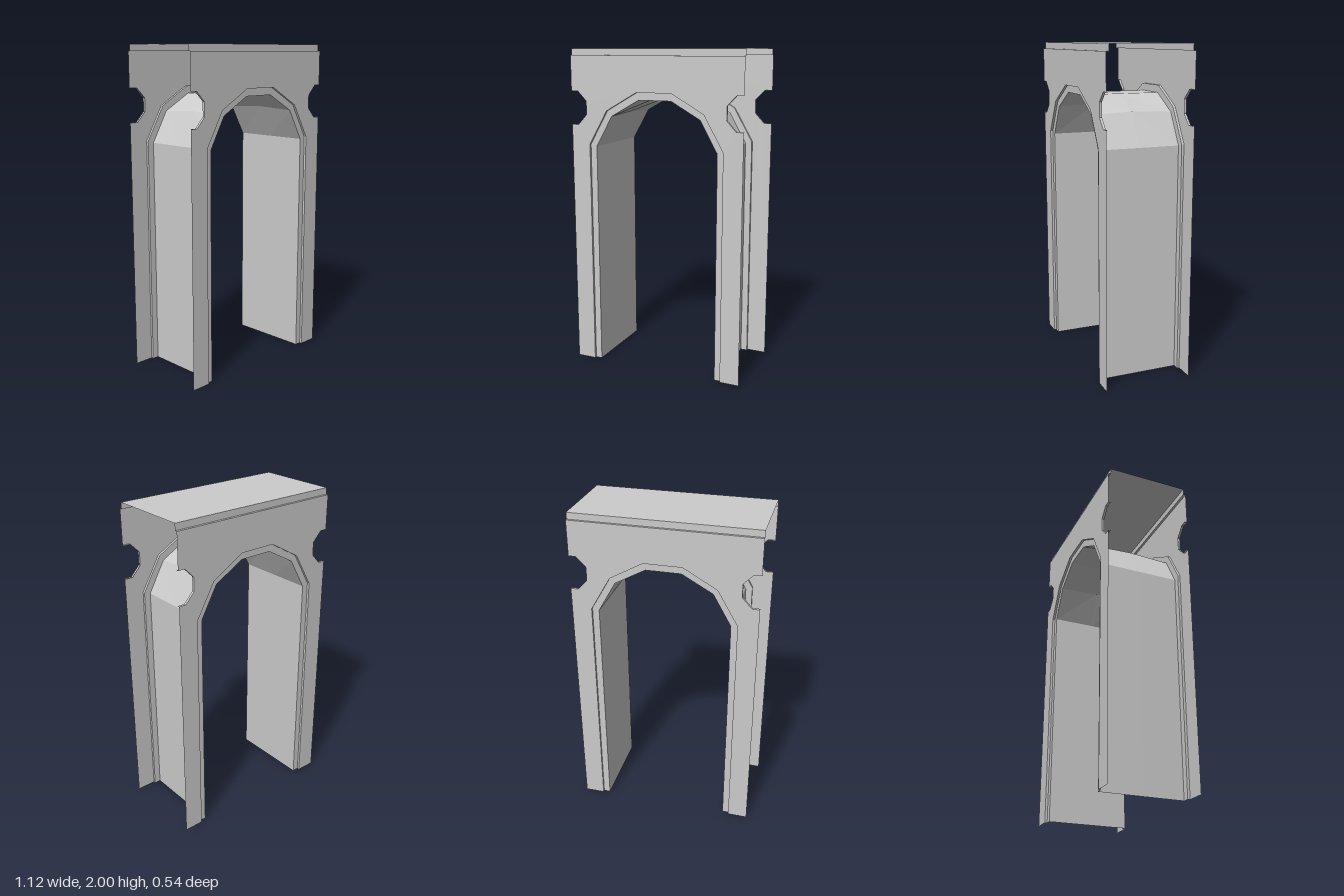
import * as THREE from 'three';

const material = new THREE.MeshStandardMaterial({ color: 0xcccccc, side: THREE.DoubleSide });
const W = 0.56, FACE_Z = 0.27, INNER_Z = 0.255, LEDGE_Y = 1.96, TOP_Y = 2;

// Mirror a half profile (given for +x, bottom to top) into a full arch path.
const mirrored = (half) => [...half, ...half.slice().reverse().map(([x, y]) => [-x, y])];
const archOuter = mirrored([[0.438, 0], [0.438, 1.42], [0.317, 1.63], [0.115, 1.745]]);
const archInner = mirrored([[0.397, 0], [0.397, 1.408], [0.29, 1.597], [0.105, 1.70]]);
const notch = [[W, 1.54], [0.515, 1.54], [0.457, 1.602], [0.457, 1.685], [0.515, 1.745], [W, 1.745]];

const at = (path, z) => path.map(([x, y]) => [x, y, z]);

// Faceted surface lofted through rows of matching points.
function loft(name, rows) {
  const pos = [];
  for (let r = 0; r < rows.length - 1; r++) {
    for (let i = 0; i < rows[r].length - 1; i++) {
      const a = rows[r][i], b = rows[r][i + 1], c = rows[r + 1][i + 1], d = rows[r + 1][i];
      pos.push(...a, ...b, ...c, ...a, ...c, ...d);
    }
  }
  const geometry = new THREE.BufferGeometry();
  geometry.setAttribute('position', new THREE.Float32BufferAttribute(pos, 3));
  geometry.computeVertexNormals();
  const mesh = new THREE.Mesh(geometry, material);
  mesh.name = name;
  return mesh;
}

// One facade: notched plate, recessed arch band, ledge and notch rims.
function facade(name) {
  const group = new THREE.Group();
  group.name = name;
  const leftNotch = notch.slice().reverse().map(([x, y]) => [-x, y]);
  const outline = [[W, 0], ...notch, [W, LEDGE_Y], [-W, LEDGE_Y], ...leftNotch, [-W, 0],
    ...archOuter.slice().reverse()];
  const shape = new THREE.Shape(outline.map(([x, y]) => new THREE.Vector2(x, y)));
  const plate = new THREE.Mesh(new THREE.ShapeGeometry(shape), material);
  plate.name = 'facadePlate';
  plate.position.z = FACE_Z;
  group.add(plate);

  group.add(loft('archReveal', [at(archOuter, INNER_Z), at(archOuter, FACE_Z)]));
  group.add(loft('archBand', [at(archInner, INNER_Z), at(archOuter, INNER_Z)]));
  for (const n of [notch, leftNotch]) {
    group.add(loft('notchRim', [at(n, FACE_Z), at(n, INNER_Z)]));
  }
  // Ledge and the set-back strip above it
  const edge = (y, z) => [[-W, y, z], [W, y, z]];
  group.add(loft('topLedge', [edge(LEDGE_Y, FACE_Z), edge(LEDGE_Y, INNER_Z), edge(TOP_Y, INNER_Z)]));
  return group;
}

export function createModel() {
  const model = new THREE.Group();
  model.name = 'archway';

  const front = facade('frontFacade');
  const back = facade('backFacade');
  back.rotation.y = Math.PI;
  model.add(front, back);

  // Passage lining, its haunches raised very slightly at mid depth
  const middle = archInner.map(([x, y]) => (Math.abs(y - 1.597) < 0.01 ? [x, y + 0.012, 0] : [x, y, 0]));
  model.add(loft('passageLining', [at(archInner, -INNER_Z), middle, at(archInner, INNER_Z)]));

  // Roof sheet; both ends stay open
  const roof = new THREE.Mesh(new THREE.PlaneGeometry(2 * W, 2 * INNER_Z).rotateX(-Math.PI / 2), material);
  roof.name = 'roof';
  roof.position.y = TOP_Y;
  model.add(roof);

  return model;
}
